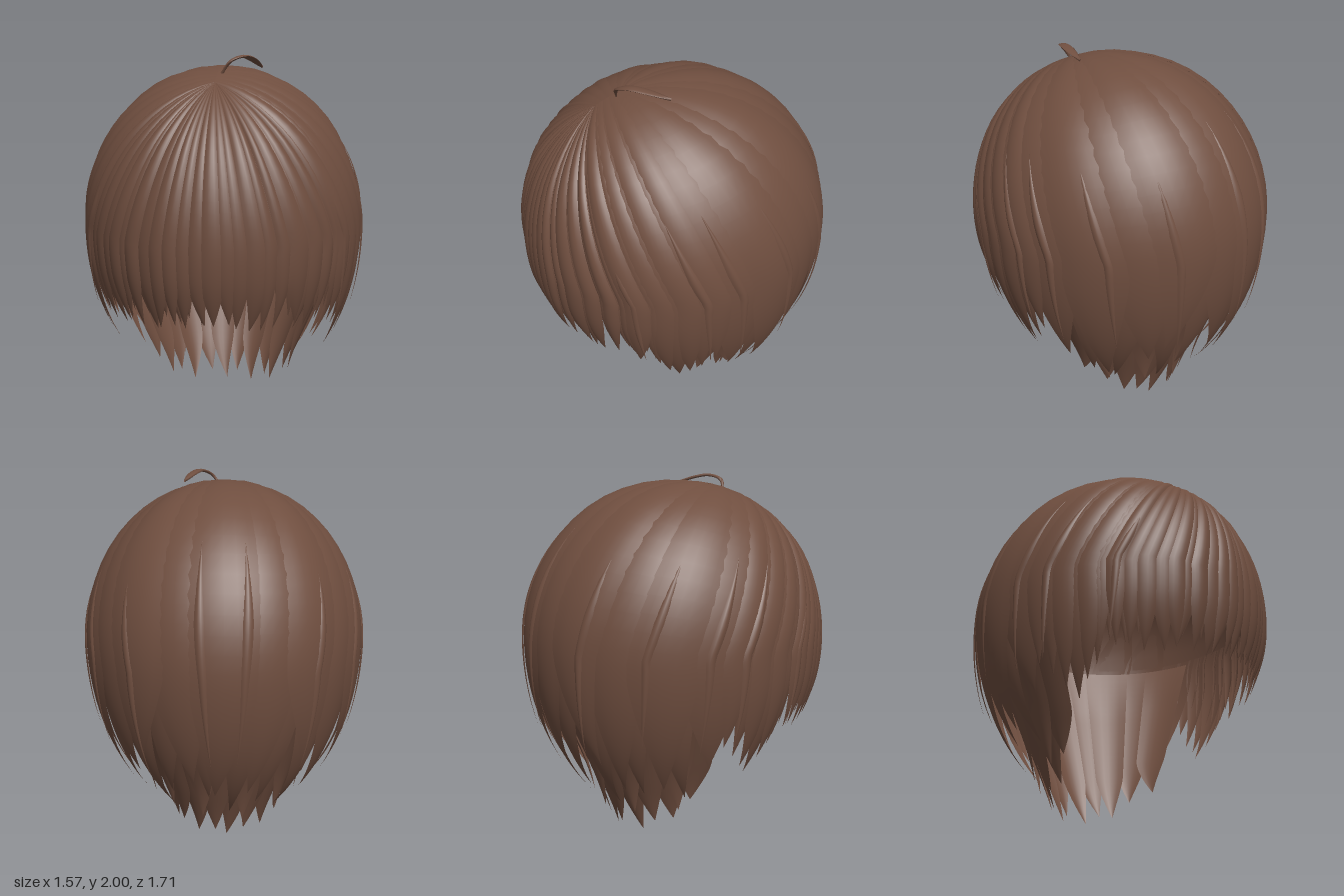
import * as THREE from 'three';

const RX = 0.764, RY = 0.868, RZ = 0.838, CY = 1.08;
const { lerp, smoothstep, degToRad } = THREE.MathUtils;

// Seeded jitter in -1..1
let seed = 7;
function jitter() {
  seed = (seed * 16807) % 2147483647;
  return (seed / 2147483647) * 2 - 1;
}

// Upper skull: an ellipsoid that is fuller above the forehead
function skullPoint(d) {
  return new THREE.Vector3(d.x * RX, CY + d.y * RY * (1 + 0.07 * Math.max(0, d.z)), d.z * RZ);
}

// Flow line over the skull: an arc from the parting to the equator, then hanging down to tipY
function skullFlow(phi, u, tipY) {
  const side = Math.abs(phi);
  const rootZ = lerp(0.5, 0.35, smoothstep(side, 0.9, 1.9));
  const root = new THREE.Vector3(0, Math.sqrt(1 - rootZ * rootZ), rootZ);
  const rim = new THREE.Vector3(Math.sin(phi), 0, Math.cos(phi));
  const angle = root.angleTo(rim), arc = angle * 0.83;
  const dist = u * (arc + CY - tipY);
  if (dist < arc) {
    const a = (dist / arc) * angle;
    const d = root.multiplyScalar(Math.sin(angle - a)).addScaledVector(rim, Math.sin(a));
    return skullPoint(d.divideScalar(Math.sin(angle)));
  }
  const drop = dist - arc, f = Math.sqrt(1 - (drop / lerp(0.95, 1.1, smoothstep(side, 0.7, 1.6))) ** 2);
  return new THREE.Vector3(rim.x * RX * f, CY - drop, rim.z * RZ * f);
}

// Flow line of the nape: a funnel that narrows towards the neck
function napeFlow(phi, u, tipY) {
  const y = lerp(1.1, tipY, u), k = (1.1 - y) / 1.1;
  return new THREE.Vector3(Math.sin(phi) * lerp(0.73, 0.28, k), y, Math.cos(phi) * lerp(0.8, 0.33, k));
}

// One lock: a gently bulged strip that follows a flow line and tapers to a point
function lockGeometry({ flow = skullFlow, phi, half, tipY, tip = 0.16, lift = 0, bulge = 0.012, sway = 0, start = 0, flick = 0 }) {
  const rows = 28, cols = 6, pos = [], index = [];
  for (let i = 0; i <= rows; i++) {
    const u = lerp(start, 1, 1 - (1 - i / rows) ** 1.5);
    const end = Math.max(0, (u - 1 + tip) / tip);
    let width = 1 - end ** 1.5;
    if (start > 0) width *= Math.min(1, (u - start) * 5);
    const grow = Math.min(1, u * 3);
    for (let j = 0; j <= cols; j++) {
      const v = (j / cols) * 2 - 1;
      const p = flow(degToRad(phi + half * width * v + sway * end * end), u, tipY);
      const out = new THREE.Vector3(p.x, Math.max(0, p.y - CY), p.z).normalize();
      p.addScaledVector(out, (lift + bulge * (1 - v * v) * width) * grow + flick * end * end);
      pos.push(p.x, p.y, p.z);
      if (i < rows && j < cols) {
        const a = i * (cols + 1) + j, b = a + cols + 1;
        index.push(a, b, a + 1, b, b + 1, a + 1);
      }
    }
  }
  const g = new THREE.BufferGeometry();
  g.setAttribute('position', new THREE.Float32BufferAttribute(pos, 3));
  g.setIndex(index);
  g.computeVertexNormals();
  return g;
}

// Wraps an angle in degrees to -180..180
const wrap = (phi) => (phi > 180 ? phi - 360 : phi);

export function createModel() {
  seed = 7;
  const model = new THREE.Group();
  model.name = 'hair';
  const brown = new THREE.MeshStandardMaterial({ color: 0x6f4e3f, side: THREE.DoubleSide });
  brown.name = 'brown hair';

  function add(parent, name, geometry) {
    const mesh = new THREE.Mesh(geometry, brown);
    mesh.name = name;
    parent.add(mesh);
  }
  function layer(name) {
    const g = new THREE.Group();
    g.name = name;
    model.add(g);
    return g;
  }

  // Cap closely under the locks
  const cap = new THREE.SphereGeometry(1, 40, 16, 0, Math.PI * 2, 0, Math.PI * 0.48);
  const capPos = cap.attributes.position;
  for (let i = 0; i < capPos.count; i++) {
    const p = skullPoint(new THREE.Vector3().fromBufferAttribute(capPos, i).multiplyScalar(0.988));
    capPos.setXYZ(i, p.x, p.y, p.z);
  }
  cap.computeVertexNormals();
  add(model, 'scalpCap', cap);

  // Fringe: uneven locks cut almost level above the eyes
  const fringe = layer('fringe');
  for (let i = 0; i < 26; i++) {
    const phi = -65 + i * 5.2 + 1.6 * jitter();
    add(fringe, 'fringeLock', lockGeometry({
      phi, half: 3.6 + 1.1 * jitter(), tipY: 0.67 - 0.04 * Math.abs(phi) / 66 + 0.02 * jitter(),
      tip: 0.19, lift: 0.005 + 0.007 * jitter(), bulge: 0.013, sway: 2.5 * jitter(),
    }));
  }
  // Inner fringe strands that fill the gaps
  for (let i = 0; i < 26; i++) {
    add(fringe, 'fringeUnderLock', lockGeometry({
      phi: -62 + i * 5, half: 2.8, tipY: 0.69 + 0.03 * jitter(), tip: 0.2, lift: -0.01, sway: 2 * jitter(),
    }));
  }

  // Side locks in front of the ears: [angle, half width, tip height]
  const sides = layer('sideLocks');
  const sideTable = [[65, 4, 0.56], [69, 5, 0.5], [73.5, 6, 0.42], [78, 5.5, 0.47], [83, 5, 0.53], [88, 6, 0.61]];
  for (const s of [-1, 1]) {
    sideTable.forEach(([phi, half, tipY], i) => add(sides, 'sideLock', lockGeometry({
      phi: s * phi, half, tipY: tipY + 0.02 * jitter(), tip: 0.24, lift: (i % 2) * 0.006, sway: s * 2,
    })));
  }

  // Back: broad outer locks with long points
  const back = layer('backLocks');
  for (let i = 0; i < 11; i++) {
    const phi = 97 + i * 16.6, off = Math.abs(phi - 180);
    const tipY = off > 70 ? 0.5 : off > 35 ? 0.4 : 0.47;
    add(back, 'backLock', lockGeometry({
      phi: wrap(phi), half: 12.5 + 1.5 * jitter(), tipY: tipY + 0.08 * jitter(),
      tip: 0.34, lift: (i % 2) * 0.008, bulge: 0.012, sway: 6 * jitter(),
    }));
  }

  // Back: middle layer, longer and tucked in
  const middle = layer('middleLocks');
  for (let i = 0; i < 10; i++) {
    add(middle, 'middleLock', lockGeometry({
      phi: wrap(110 + i * 15.5), half: 9, tipY: 0.29 + 0.08 * jitter(),
      tip: 0.3, lift: -0.018, start: 0.4, sway: 7 * jitter(),
    }));
  }

  // Nape: longest locks around the neck, shorter towards the ears
  const nape = layer('napeLocks');
  for (let i = 0; i < 12; i++) {
    const phi = 97 + i * 15.1, k = Math.abs(phi - 180) / 84;
    add(nape, 'napeLock', lockGeometry({
      flow: napeFlow, phi, half: 10.5, tipY: 0.2 * k ** 3 + (i % 2) * 0.04,
      tip: 0.24, lift: (i % 2) * 0.01, sway: 6 * jitter(), flick: 0.02,
    }));
  }
  // Shorter nape locks lying outside
  for (let i = 0; i < 6; i++) {
    add(nape, 'napeOuterLock', lockGeometry({
      flow: napeFlow, phi: 108 + i * 28.8, half: 9, tipY: 0.16 + 0.06 * jitter(),
      tip: 0.35, lift: 0.03, sway: 7 * jitter(), flick: 0.04,
    }));
  }

  // Loose wisps standing slightly off the outline: [angle, tip height]
  const wisps = layer('wisps');
  const wispTable = [[59, 0.66], [84, 0.58], [97, 0.55], [118, 0.6], [143, 0.5], [172, 0.62]];
  for (const s of [-1, 1]) {
    for (const [phi, tipY] of wispTable) {
      add(wisps, 'wisp', lockGeometry({
        phi: s * phi, half: 2, tipY: tipY + 0.04 * jitter(), tip: 0.4, lift: 0.014, start: 0.45, sway: s * 3, flick: 0.02,
      }));
    }
  }

  // Stray curl on the crown: a flattened tube, thin at both ends
  const path = new THREE.CatmullRomCurve3([
    [0.02, 1.9, 0.31], [0.07, 1.965, 0.32], [0.13, 1.992, 0.27], [0.17, 1.982, 0.2], [0.22, 1.945, 0.09],
  ].map((p) => new THREE.Vector3(...p)));
  const curl = new THREE.TubeGeometry(path, 24, 1, 8);
  for (let i = 0; i <= 24; i++) {
    const c = path.getPointAt(i / 24), t = path.getTangentAt(i / 24);
    const r = 0.004 + 0.026 * Math.sin(Math.PI * (i / 24) ** 1.4);
    const across = new THREE.Vector3(-t.z, 0, t.x).normalize(), up = across.clone().cross(t).normalize();
    for (let j = 0; j <= 8; j++) {
      const a = (j / 8) * Math.PI * 2;
      const p = c.clone().addScaledVector(across, Math.cos(a) * r).addScaledVector(up, Math.sin(a) * 0.008);
      curl.attributes.position.setXYZ(i * 9 + j, p.x, p.y, p.z);
    }
  }
  curl.computeVertexNormals();
  add(model, 'crownCurl', curl);

  return model;
}
